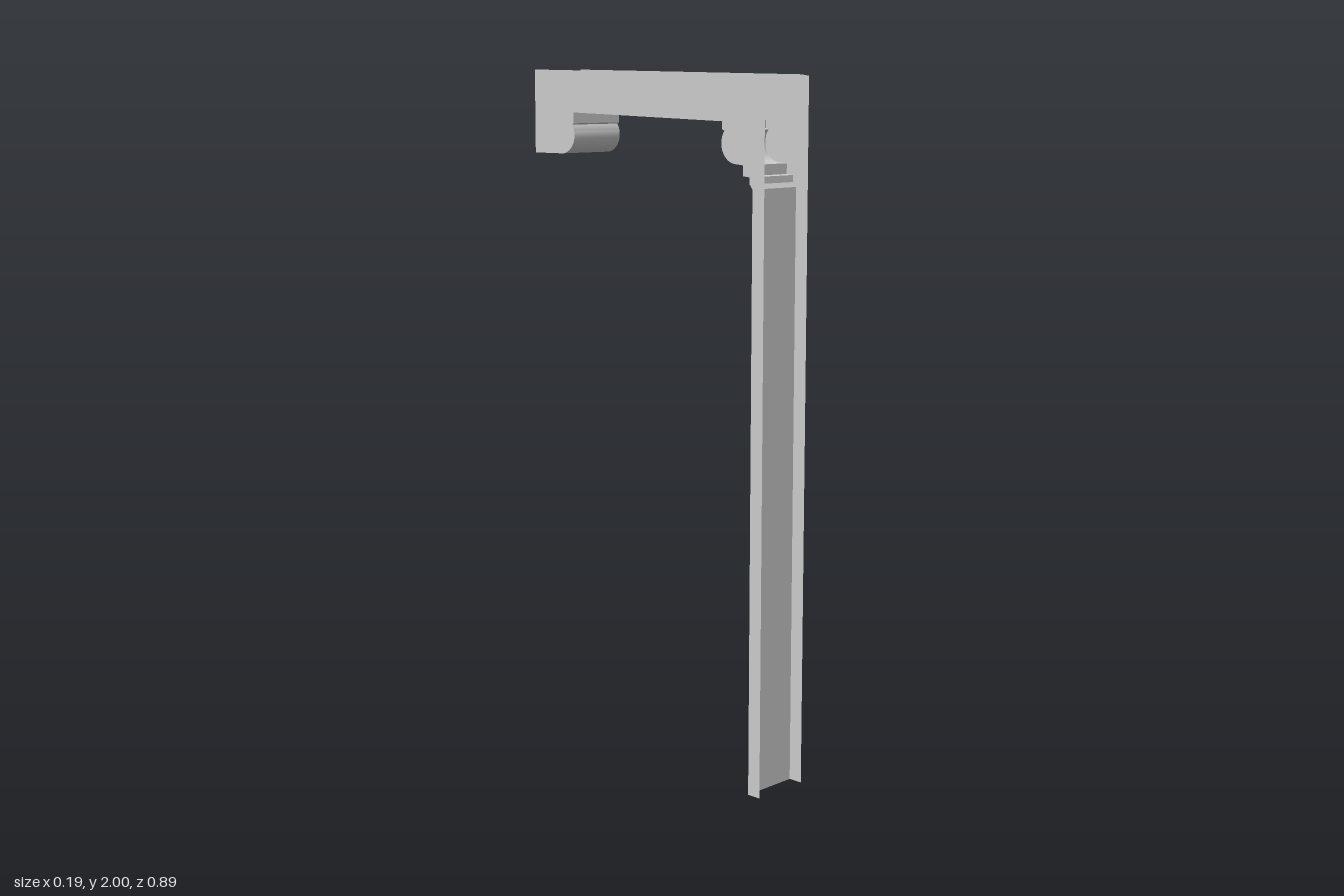
import * as THREE from 'three';
import { toCreasedNormals } from 'three/addons/utils/BufferGeometryUtils.js';

const material = new THREE.MeshStandardMaterial({ color: 0xcccccc, side: THREE.DoubleSide });

// the two sides drift slightly towards +x from front to back
const backness = z => (0.447 - z) / 0.894;
const rightX = z => -0.0975 + 0.0075 * backness(z);
const leftX = z => 0.082 + 0.0135 * backness(z);

// points [z, y] on a rounded moulding, angles in degrees
function arc(z, y, r, from, to, steps = 14) {
  return Array.from({ length: steps + 1 }, (_, i) => {
    const a = THREE.MathUtils.degToRad(from + (to - from) * i / steps);
    return [z + r * Math.cos(a), y + r * Math.sin(a)];
  });
}

// inner edge: up the post, over the front moulding, along the beam, down the back moulding
const inner = [
  [0.405, 0], [0.405, 1.684], [0.395, 1.697], [0.394, 1.716], [0.371, 1.718], [0.371, 1.747],
  ...arc(0.347, 1.804, 0.055, 270, 143).map(([z, y]) => [z, y]),
  [0.294, 1.841], [0.294, 1.862],
  [-0.284, 1.878], [-0.284, 1.847], [-0.291, 1.843],
  ...arc(-0.334, 1.813, 0.053, 36, -90),
  [-0.353, 1.76],
];

// flat side panel, bounded by the inner edge and the plain outer edge
function sidePanel(name, xAt) {
  const outline = [...inner, [-0.447, 1.76], [-0.447, 2], [0.42, 1.986], [0.447, 1.982], [0.447, 0]];
  const shape = new THREE.Shape(outline.map(([z, y]) => new THREE.Vector2(z, y)));
  const geometry = new THREE.ShapeGeometry(shape);
  const p = geometry.attributes.position;
  for (let i = 0; i < p.count; i++) {
    const z = p.getX(i);
    p.setXYZ(i, xAt(z), p.getY(i), z);
  }
  geometry.computeVertexNormals();
  const mesh = new THREE.Mesh(geometry, material);
  mesh.name = name;
  return mesh;
}

// strip joining both panels along the inner edge
function innerStrip() {
  const positions = [], index = [];
  inner.forEach(([z, y], i) => {
    positions.push(rightX(z), y, z, leftX(z), y, z);
    if (i) {
      const a = 2 * i - 2;
      index.push(a, a + 2, a + 1, a + 1, a + 2, a + 3);
    }
  });
  const geometry = new THREE.BufferGeometry();
  geometry.setAttribute('position', new THREE.Float32BufferAttribute(positions, 3));
  geometry.setIndex(index);
  const mesh = new THREE.Mesh(toCreasedNormals(geometry, 0.4), material);
  mesh.name = 'mouldedInnerStrip';
  return mesh;
}

export function createModel() {
  const group = new THREE.Group();
  group.name = 'mouldedPostAndBeam';
  group.add(sidePanel('rightPanel', rightX), sidePanel('leftPanel', leftX), innerStrip());
  return group;
}
